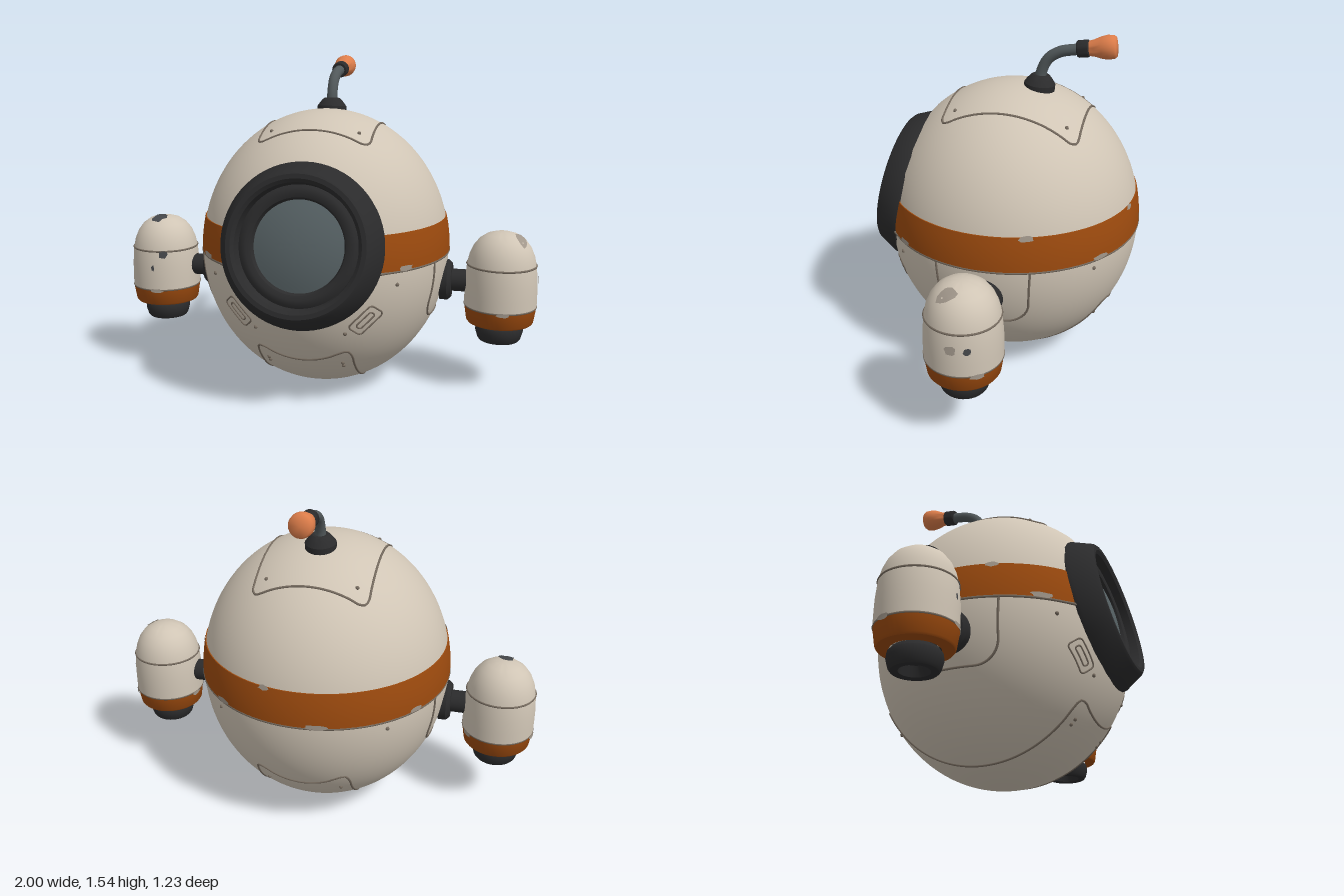
import * as THREE from 'three';
import { toCreasedNormals } from 'three/addons/utils/BufferGeometryUtils.js';

const V2 = (x, y) => new THREE.Vector2(x, y);
const V3 = (x, y, z) => new THREE.Vector3(x, y, z);

export function createModel() {
  const root = new THREE.Group();
  const mat = (name, color, side = THREE.FrontSide) =>
    Object.assign(new THREE.MeshStandardMaterial({ color, side }), { name });
  const cream = mat('cream paint', 0xd0c5b5);
  const orange = mat('burnt orange paint', 0x9c4a0e);
  const dark = mat('dark rubber', 0x2b2b2c);
  const metal = mat('grey metal', 0x51585a);
  const glass = mat('porthole glass', 0x566164);
  const tipMat = mat('antenna orange', 0xdd7d4a);
  const groove = mat('panel groove', 0x776c60);
  const worn = mat('worn paint', 0xa0968a, THREE.DoubleSide);
  const bare = mat('bare metal chips', 0x45474a, THREE.DoubleSide);

  const add = (name, geo, material, parent = root) => {
    const m = new THREE.Mesh(geo, material);
    m.name = name;
    parent.add(m);
    return m;
  };
  const lathe = (pts, seg = 48, crease = 0.6) =>
    toCreasedNormals(new THREE.LatheGeometry(pts.map(p => V2(p[0], p[1])), seg), crease);

  // Ellipsoid hull with a flat seat for the porthole
  const R = V3(0.585, 0.65, 0.59), C = V3(0, 0.65, -0.02);
  const tilt = 0.197;
  const seat = V3(0, 0.747, 0.445), seatN = V3(0, Math.sin(tilt), Math.cos(tilt));
  const fitHull = geo => {
    geo.scale(R.x, R.y, R.z).translate(C.x, C.y, C.z);
    const p = geo.attributes.position, v = V3(0, 0, 0);
    for (let i = 0; i < p.count; i++) {
      v.fromBufferAttribute(p, i);
      const d = v.clone().sub(seat).dot(seatN);
      if (d > 0) v.addScaledVector(seatN, -d);
      p.setXYZ(i, v.x, v.y, v.z);
    }
    return geo;
  };
  add('hull', fitHull(new THREE.SphereGeometry(1, 80, 56)), cream);
  const band = [[0.985, 0]];
  for (let i = 0; i <= 6; i++) {
    const y = 0.246 * i / 6;
    band.push([Math.sqrt(1 - y * y) * 1.008, y]);
  }
  band.push([0.95, 0.246]);
  add('hullBand', fitHull(lathe(band, 96)), orange);

  // Places a 2D point on the hull, seen along one axis
  const root0 = (a, b) => Math.sqrt(Math.max(0, 1 - a * a - b * b));
  const onTop = s => (x, z) => V3(x, C.y + s * R.y * root0(x / R.x, (z - C.z) / R.z), z);
  const onSide = s => (z, y) => V3(s * R.x * root0((z - C.z) / R.z, (y - C.y) / R.y), y, z);
  const onFront = (x, y) => V3(x, y, C.z + R.z * root0(x / R.x, (y - C.y) / R.y));
  const around = (a, y) => {
    const r = root0((y - C.y) / R.y, 0) * 1.012;
    return V3(Math.sin(a) * R.x * r, y, C.z + Math.cos(a) * R.z * r);
  };

  const line = (name, pts, closed, r = 0.0055) =>
    add(name, new THREE.TubeGeometry(new THREE.CatmullRomCurve3(pts, closed), pts.length * 2, r, 6, closed), groove);
  // Rounded rectangle outline, optionally tapered
  const roundRect = (w, h, r) => {
    const s = new THREE.Path();
    s.absarc(w - r, h - r, r, 0, Math.PI / 2);
    s.absarc(r - w, h - r, r, Math.PI / 2, Math.PI);
    s.absarc(r - w, r - h, r, Math.PI, Math.PI * 1.5);
    s.absarc(w - r, r - h, r, Math.PI * 1.5, Math.PI * 2);
    s.closePath();
    return s.getSpacedPoints(72).slice(0, -1);
  };
  line('topPanelSeam', roundRect(0.255, 0.305, 0.04).map(p => onTop(1)(p.x, p.y - 0.05)), true);
  line('bottomPanelSeam', roundRect(0.215, 0.47, 0.04).map(p => onTop(-1)(p.x, p.y - 0.04)), true);

  const rivet = (p) => add('rivet', new THREE.SphereGeometry(0.009, 8, 6), groove).position.copy(p);
  for (const s of [-1, 1]) {
    // U-shaped side panel hanging from the band
    const u = new THREE.Path();
    u.moveTo(-0.225, 0.65);
    u.lineTo(-0.215, 0.48);
    u.absarc(-0.105, 0.48, 0.11, Math.PI, Math.PI * 1.5);
    u.absarc(0.075, 0.48, 0.11, Math.PI * 1.5, Math.PI * 2);
    u.lineTo(0.195, 0.65);
    line('sidePanelSeam', u.getSpacedPoints(40).map(p => onSide(s)(p.x, p.y)), false);
    // Slanted slots under the porthole
    for (const [w, h, r] of [[0.07, 0.032, 0.016], [0.045, 0.012, 0.01]]) {
      line('frontSlot', roundRect(w, h, r).map(p => {
        p.rotateAround(V2(0, 0), s * 0.8);
        return onFront(p.x + s * 0.285, p.y + 0.44);
      }), true, 0.004);
    }
    rivet(onFront(s * 0.2, 0.38));
    rivet(onFront(s * 0.41, 0.59));
    rivet(onFront(s * 0.17, 0.21));
    for (const z of [-0.3, 0.2]) rivet(onTop(1)(s * 0.2, z));
    for (const z of [-0.45, 0.36]) rivet(onTop(-1)(s * 0.17, z));
    rivet(onSide(s)(-0.47, 0.61));
  }
  line('waistSeam', Array.from({ length: 72 }, (_, i) => {
    const a = i / 72 * Math.PI * 2;
    const p = around(a, 0.648), d = p.clone().sub(seat).dot(seatN);
    return d > 0 ? p.addScaledVector(seatN, -d) : p.sub(C).multiplyScalar(0.99).add(C);
  }), true, 0.006);

  // Irregular paint chips laid on a mapped surface
  let seed = 7;
  const rnd = () => (seed = (seed * 16807) % 2147483647) / 2147483647;
  const chip = (map, u, v, ru, rv, material, parent = root) => {
    const n = 11, pts = [map(u, v)], idx = [];
    for (let i = 0; i < n; i++) {
      const a = i / n * Math.PI * 2, k = 0.7 + 0.4 * rnd();
      pts.push(map(u + Math.cos(a) * ru * k, v + Math.sin(a) * rv * k));
      idx.push(0, i + 1, (i + 1) % n + 1);
    }
    const g = new THREE.BufferGeometry().setFromPoints(pts);
    g.setIndex(idx);
    g.computeVertexNormals();
    add('paintChip', g, material, parent);
  };
  for (const [a, y, w] of [[0.85, 0.66, 0.07], [-0.9, 0.662, 0.09], [1.9, 0.805, 0.06], [2.5, 0.66, 0.08],
    [3.3, 0.657, 0.1], [4.1, 0.66, 0.07], [-1.25, 0.805, 0.05], [2.9, 0.805, 0.05]])
    chip(around, a, y, w, 0.014, worn);

  // Porthole: tapered rim, inner ring and domed glass
  const porthole = new THREE.Group();
  porthole.name = 'porthole';
  porthole.position.copy(seat);
  porthole.rotation.x = Math.PI / 2 - tilt;
  root.add(porthole);
  add('portholeRim', lathe([[0.34, -0.03], [0.363, -0.005], [0.362, 0.012], [0.318, 0.1], [0.305, 0.111],
    [0.285, 0.111], [0.27, 0.1], [0.262, 0.05]], 64), dark, porthole);
  add('portholeInnerRing', lathe([[0.27, 0.05], [0.25, 0.066], [0.228, 0.07], [0.208, 0.062], [0.196, 0.035]], 64),
    dark, porthole);
  const dome = [];
  for (let i = 0; i <= 8; i++) dome.push([0.2 * (1 - i / 8), 0.075 - 0.032 * (1 - i / 8) ** 2]);
  add('portholeGlass', lathe(dome, 48, 1), glass, porthole);

  // Side thruster pods
  const shell = [[0.166, 0.405], [0.166, 0.46], [0.165, 0.52], [0.158, 0.6], [0.148, 0.645], [0.131, 0.685],
    [0.105, 0.719], [0.072, 0.742], [0.036, 0.753], [0, 0.756]];
  const podR = y => {
    for (let i = 1; i < shell.length; i++) {
      const [r0, y0] = shell[i - 1], [r1, y1] = shell[i];
      if (y <= y1) return r0 + (r1 - r0) * Math.max(0, (y - y0) / (y1 - y0));
    }
    return 0;
  };
  const podY = r => {
    for (let i = 1; i < shell.length; i++) {
      const [r0, y0] = shell[i - 1], [r1, y1] = shell[i];
      if (r >= r1 && r0 > r1) return y0 + (y1 - y0) * (r0 - r) / (r0 - r1);
    }
    return 0.756;
  };
  const onPod = (a, y) => V3(Math.sin(a) * (podR(y) + 0.004), y, Math.cos(a) * (podR(y) + 0.004));
  const onPodTop = (x, z) => V3(x, podY(Math.hypot(x, z)) + 0.005, z);

  for (const s of [-1, 1]) {
    const pod = new THREE.Group();
    pod.name = s > 0 ? 'leftPod' : 'rightPod';
    pod.position.set(s * 0.833, 0, -0.016);
    root.add(pod);
    add('podShell', lathe(shell, 48, 1), cream, pod);
    add('podBand', lathe([[0.1, 0.325], [0.148, 0.328], [0.154, 0.336], [0.165, 0.405], [0.15, 0.409]]), orange, pod);
    add('podNozzle', lathe([[0, 0.29], [0.05, 0.285], [0.062, 0.242], [0.092, 0.24], [0.1, 0.25], [0.11, 0.285],
      [0.107, 0.31], [0.09, 0.33]], 32), dark, pod);
    for (const [r, y] of [[0.157, 0.602], [0.163, 0.408]]) {
      const ring = add('podSeam', new THREE.TorusGeometry(r, 0.005, 6, 48), groove, pod);
      ring.rotation.x = Math.PI / 2;
      ring.position.y = y;
    }
    // Arm and collar joining pod to hull
    const arm = add('podArm', new THREE.CylinderGeometry(0.052, 0.052, 0.2, 24), dark);
    arm.position.set(s * 0.62, 0.512, -0.016);
    arm.rotation.z = Math.PI / 2;
    const collar = add('podCollar', lathe([[0.095, 0], [0.095, 0.035], [0.08, 0.052], [0, 0.055]], 32), dark);
    collar.position.set(s * 0.555, 0.512, -0.016);
    collar.rotation.z = -s * Math.PI / 2;
    if (s < 0) {
      chip(onPodTop, -0.01, 0.05, 0.038, 0.045, bare, pod);
      chip(onPod, 0.3, 0.59, 0.15, 0.024, bare, pod);
      chip(onPod, 0, 0.52, 0.05, 0.016, bare, pod);
    } else {
      chip(onPodTop, 0.085, 0.035, 0.03, 0.045, worn, pod);
      chip(onPod, 1.55, 0.53, 0.15, 0.022, worn, pod);
      chip(onPod, 1.95, 0.53, 0.1, 0.018, bare, pod);
    }
    for (const a of [0.1, 2.2, 4.4]) chip(onPod, a, 0.405, 0.2, 0.012, worn, pod);
  }

  // Bent antenna leaning back
  const base = add('antennaBase', lathe([[0.07, -0.03], [0.07, 0.005], [0.058, 0.022], [0.045, 0.038], [0.036, 0.045],
    [0, 0.045]], 32), dark);
  base.position.set(0, 1.298, -0.135);
  base.rotation.x = -0.1;
  const bend = new THREE.CatmullRomCurve3([V3(0, 1.32, -0.137), V3(0, 1.37, -0.147), V3(0, 1.42, -0.175),
    V3(0, 1.452, -0.225), V3(0, 1.466, -0.29), V3(0, 1.472, -0.33)]);
  add('antennaStem', new THREE.TubeGeometry(bend, 32, 0.025, 14), metal);
  const head = new THREE.Group();
  head.name = 'antennaHead';
  head.position.set(0, 1.469, -0.3);
  head.rotation.x = -Math.PI / 2 + 0.13;
  root.add(head);
  add('antennaCollar', lathe([[0, 0], [0.034, 0], [0.038, 0.006], [0.038, 0.05], [0.03, 0.058]], 24), dark, head);
  add('antennaTip', lathe([[0, 0.05], [0.033, 0.052], [0.037, 0.075], [0.049, 0.11], [0.053, 0.135], [0.051, 0.162],
    [0.044, 0.172], [0, 0.175]], 24, 0.9), tipMat, head);
  return root;
}
